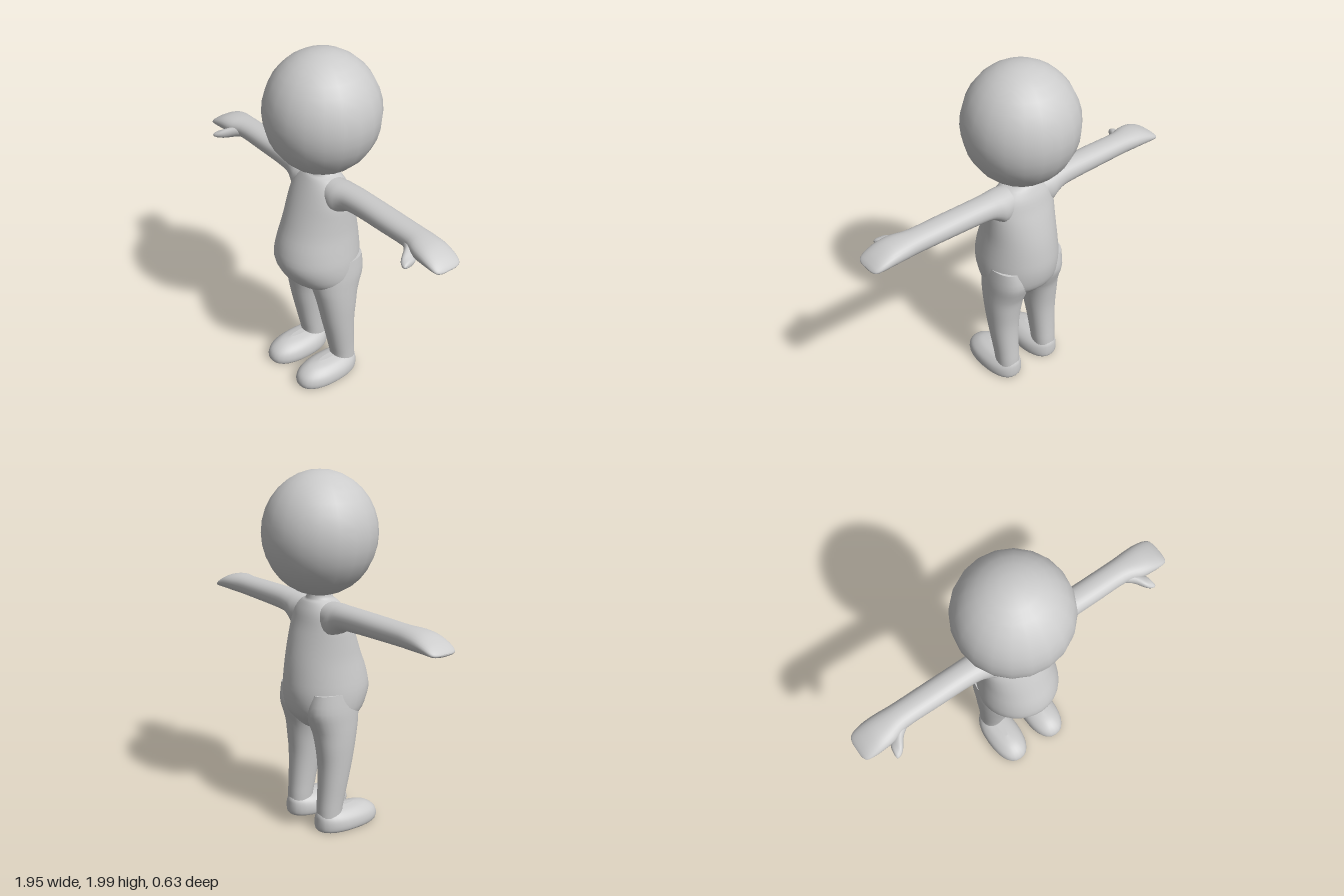
import * as THREE from 'three';

const material = new THREE.MeshStandardMaterial({ color: 0xcccccc });

// Smoothly interpolate rows of section values
function smoothRows(rows, steps) {
  const out = [];
  for (let i = 0; i < rows.length - 1; i++) {
    const [p, q, r, s] = [-1, 0, 1, 2].map(k => rows[Math.min(Math.max(i + k, 0), rows.length - 1)]);
    for (let j = 0; j < steps; j++) {
      const t = j / steps;
      out.push(q.map((b, k) => b + 0.5 * t * (r[k] - p[k]
        + t * (2 * p[k] - 5 * b + 4 * r[k] - s[k] + t * (3 * (b - r[k]) + s[k] - p[k])))));
    }
  }
  out.push(rows[rows.length - 1]);
  return out;
}

// Loft of rounded sections. Each row: position on axis, then min/max across, then min/max in z.
// Axis 'y' goes across x; axis 'x' goes across y. side = -1 mirrors in x.
function loft(name, rows, { axis = 'y', side = 1, power = 2, n = 28, steps = 3 } = {}) {
  const rings = smoothRows(rows, steps);
  const pos = [], idx = [];
  const flip = (axis === 'y') !== (side < 0);
  const tri = (a, b, c) => flip ? idx.push(a, c, b) : idx.push(a, b, c);
  const put = (t, a, z) => axis === 'y' ? pos.push(side * a, t, z) : pos.push(side * t, a, z);
  const round = v => Math.sign(v) * Math.pow(Math.abs(v), 2 / power);
  const ring = ([t, a0, a1, z0, z1]) => {
    for (let j = 0; j < n; j++) {
      const th = j / n * Math.PI * 2;
      put(t, (a0 + a1) / 2 + (a1 - a0) / 2 * round(Math.cos(th)),
        (z0 + z1) / 2 + (z1 - z0) / 2 * round(Math.sin(th)));
    }
  };
  rings.forEach(ring);
  for (let i = 0; i < rings.length - 1; i++) {
    for (let j = 0; j < n; j++) {
      const k = (j + 1) % n, a = i * n + j, b = i * n + k;
      tri(a, b, b + n);
      tri(a, b + n, a + n);
    }
  }
  // Flat end caps with their own vertices
  for (const end of [0, 1]) {
    const r = rings[end ? rings.length - 1 : 0], base = pos.length / 3;
    ring(r);
    put(r[0], (r[1] + r[2]) / 2, (r[3] + r[4]) / 2);
    for (let j = 0; j < n; j++) {
      const a = base + j, b = base + (j + 1) % n;
      end ? tri(a, b, base + n) : tri(b, a, base + n);
    }
  }
  const geo = new THREE.BufferGeometry();
  geo.setAttribute('position', new THREE.Float32BufferAttribute(pos, 3));
  geo.setIndex(idx);
  geo.computeVertexNormals();
  const mesh = new THREE.Mesh(geo, material);
  mesh.name = name;
  return mesh;
}

// y, half width, back z, front z
const TORSO = [
  [0.575, 0.06, -0.05, 0.05], [0.6, 0.13, -0.1, 0.11], [0.64, 0.19, -0.14, 0.17],
  [0.7, 0.225, -0.185, 0.235], [0.8, 0.232, -0.205, 0.282], [0.9, 0.222, -0.2, 0.268],
  [1.0, 0.21, -0.185, 0.23], [1.1, 0.205, -0.16, 0.19], [1.18, 0.2, -0.135, 0.155],
  [1.25, 0.175, -0.115, 0.12], [1.3, 0.12, -0.09, 0.09], [1.32, 0.075, -0.075, 0.07],
  [1.37, 0.07, -0.07, 0.065],
].map(([y, w, b, f]) => [y, -w, w, b, f]);

const LEG = [
  [0.05, 0.075, 0.205, -0.112, 0.03], [0.13, 0.07, 0.208, -0.11, 0.035],
  [0.2, 0.067, 0.212, -0.105, 0.05], [0.3, 0.06, 0.22, -0.1, 0.072],
  [0.4, 0.05, 0.227, -0.1, 0.095], [0.5, 0.038, 0.233, -0.11, 0.115],
  [0.58, 0.02, 0.235, -0.122, 0.132], [0.64, 0.005, 0.235, -0.142, 0.145],
  [0.72, 0.01, 0.234, -0.165, 0.15], [0.82, 0.05, 0.225, -0.15, 0.14],
];

const FOOT = [
  [0.008, 0.04, 0.235, -0.112, 0.268], [0.02, 0.033, 0.243, -0.118, 0.278],
  [0.045, 0.03, 0.246, -0.12, 0.28], [0.075, 0.036, 0.24, -0.119, 0.268],
  [0.1, 0.053, 0.222, -0.115, 0.24], [0.12, 0.082, 0.195, -0.1, 0.195],
  [0.13, 0.12, 0.155, -0.05, 0.13],
];

// x, bottom y, top y, back z, front z
const ARM = [
  [0.06, 1.15, 1.305, -0.08, 0.08], [0.15, 1.12, 1.312, -0.095, 0.09],
  [0.2, 1.155, 1.314, -0.09, 0.076], [0.25, 1.183, 1.315, -0.087, 0.065],
  [0.35, 1.192, 1.316, -0.085, 0.06], [0.52, 1.198, 1.315, -0.085, 0.06],
  [0.7, 1.203, 1.313, -0.085, 0.06], [0.79, 1.203, 1.311, -0.09, 0.085],
  [0.86, 1.205, 1.3, -0.092, 0.092], [0.92, 1.207, 1.274, -0.088, 0.09],
  [0.955, 1.208, 1.25, -0.078, 0.082], [0.97, 1.212, 1.235, -0.06, 0.065],
  [0.976, 1.219, 1.226, -0.03, 0.035],
];

const THUMB = [
  [0.69, 1.225, 1.28, 0.0, 0.05], [0.74, 1.212, 1.275, 0.015, 0.085],
  [0.78, 1.202, 1.262, 0.04, 0.138], [0.805, 1.2, 1.248, 0.06, 0.158],
  [0.825, 1.204, 1.238, 0.09, 0.162], [0.833, 1.214, 1.226, 0.135, 0.156],
];

export function createModel() {
  const model = new THREE.Group();
  model.name = 'figure';

  // Large round head
  const head = new THREE.Mesh(new THREE.SphereGeometry(1, 20, 16), material);
  head.name = 'head';
  head.scale.set(0.314, 0.335, 0.314);
  head.position.y = 1.665;
  model.add(head);

  // Torso with belly and neck
  model.add(loft('torso', TORSO, { n: 36 }));

  // Paired limbs
  for (const [side, label] of [[1, 'left'], [-1, 'right']]) {
    model.add(
      loft(label + 'Leg', LEG, { side, power: 2.2 }),
      loft(label + 'Foot', FOOT, { side, power: 2.3 }),
      loft(label + 'Arm', ARM, { side, axis: 'x', power: 2.2 }),
      loft(label + 'Thumb', THUMB, { side, axis: 'x', n: 16 }),
    );
  }
  return model;
}
